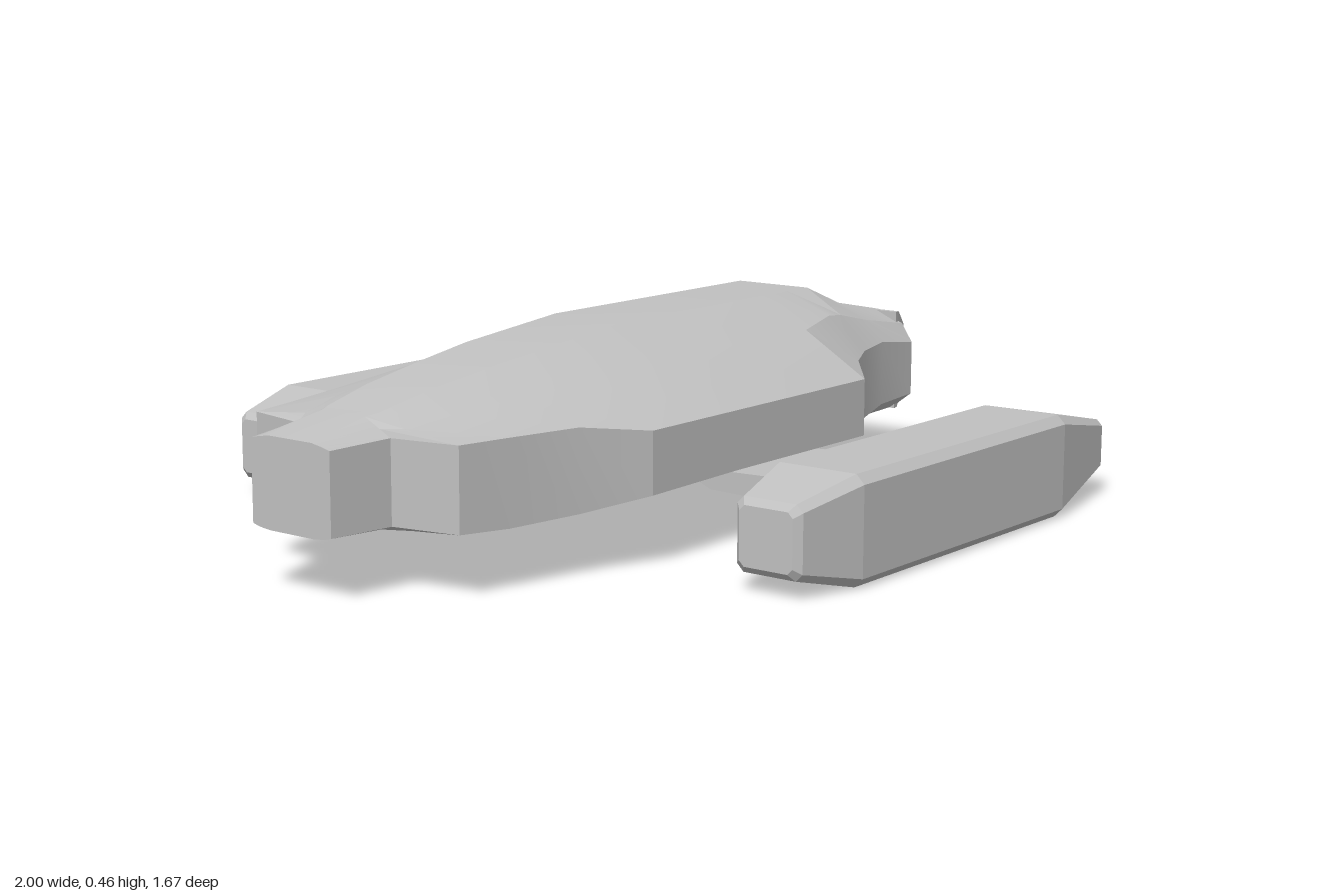
import * as THREE from 'three';
import { toCreasedNormals } from 'three/addons/utils/BufferGeometryUtils.js';

// Skin a list of equal-length rings and close both ends with fans
function loft(rings, crease = 0.25) {
  const n = rings[0].length, index = [];
  for (let r = 0; r < rings.length - 1; r++) {
    for (let i = 0; i < n; i++) {
      const j = (i + 1) % n, a = r * n, b = a + n;
      index.push(a + i, a + j, b + j, a + i, b + j, b + i);
    }
  }
  const last = (rings.length - 1) * n;
  for (let i = 1; i < n - 1; i++) {
    index.push(0, i + 1, i, last, last + i, last + i + 1);
  }
  const geo = new THREE.BufferGeometry();
  geo.setAttribute('position', new THREE.Float32BufferAttribute(rings.flat(2), 3));
  geo.setIndex(index);
  return toCreasedNormals(geo, crease);
}

// Ring across x from half-section pairs (z, y) running top to bottom, mirrored in z
function mirrorRing([x, ...v]) {
  const half = [];
  for (let i = 0; i < v.length; i += 2) half.push([x, v[i + 1], v[i]]);
  return [...half, ...half.slice().reverse().map(([a, y, z]) => [a, y, -z])];
}

// Chamfered rectangle section for the pods
function podRing([x, h, y0, y1, c]) {
  return mirrorRing([x, h - c, y1, h, y1 - c, h, y0 + c, h - c, y0]);
}

// Rectangular section across z for the pylons
const slabRing = ([z, x0, x1, y0, y1]) => [[x1, y1, z], [x0, y1, z], [x0, y0, z], [x1, y0, z]];

export function createModel() {
  const model = new THREE.Group();
  model.name = 'spacecraft';
  const hullGrey = new THREE.MeshStandardMaterial({ color: 0xc0c0c0 });
  hullGrey.name = 'hull grey';

  const add = (name, geo, parent = model) => {
    const mesh = new THREE.Mesh(geo, hullGrey);
    mesh.name = name;
    parent.add(mesh);
    return mesh;
  };

  // Hull: x, then top, shoulder, upper side, lower side, belly and keel points;
  // the last two stations fold inward to form the exhaust recess
  const hull = [
    [-1, .06, .325, .09, .32, .11, .315, .11, .14, .09, .135, .06, .132],
    [-.85, .06, .355, .1, .335, .13, .32, .13, .14, .1, .13, .06, .125],
    [-.82, .07, .36, .14, .335, .285, .32, .285, .14, .16, .13, .07, .122],
    [-.7, .08, .385, .17, .35, .31, .32, .31, .135, .17, .125, .08, .1],
    [-.53, .09, .41, .2, .365, .35, .32, .35, .14, .19, .125, .09, .085],
    [-.37, .1, .43, .23, .375, .415, .297, .415, .16, .2, .125, .1, .078],
    [-.07, .1, .458, .25, .395, .415, .297, .415, .165, .2, .125, .1, .076],
    [.42, .1, .458, .25, .395, .415, .297, .415, .165, .2, .125, .1, .076],
  ];
  const stern = [
    [.56, .1, .458, .22, .41, .305, .31, .305, .16, .19, .125, .1, .085],
    [.64, .1, .458, .2, .4, .27, .32, .27, .155, .18, .125, .1, .1],
    [.78, .1, .405, .18, .37, .23, .32, .23, .165, .17, .127, .1, .124],
    [.93, .12, .375, .19, .345, .22, .3, .22, .17, .17, .132, .1, .13],
    [.93, .1, .338, .18, .336, .195, .32, .195, .18, .18, .164, .1, .162],
    [.85, .1, .338, .18, .336, .195, .32, .195, .18, .18, .164, .1, .162],
  ];
  add('hull', loft([...hull, ...stern].map(mirrorRing)));

  // Lips reaching past the exhaust opening
  add('upperLip', loft([
    [.91, .185, .375, .185, .337],
    [.93, .18, .374, .18, .337],
    [1, .15, .333, .15, .322],
  ].map(mirrorRing)));
  add('lowerLip', loft([
    [.91, .185, .163, .185, .131],
    [.93, .18, .163, .18, .131],
    [1, .15, .178, .15, .168],
  ].map(mirrorRing)));

  // Exhaust grille: two blocks of four by four raised cells
  const grille = new THREE.Group();
  grille.name = 'exhaustGrille';
  model.add(grille);
  const cell = new THREE.BoxGeometry(.02, .028, .032);
  for (const side of [-1, 1]) {
    for (let col = 0; col < 4; col++) {
      for (let row = 0; row < 4; row++) {
        add('grilleCell', cell, grille)
          .position.set(.855, .196 + row * .036, side * (.028 + col * .041));
      }
    }
  }

  // Side pods and the pylons that carry them
  const podGeo = loft([
    [-.4, .065, .055, .182, .012],
    [-.385, .08, .04, .197, .016],
    [-.22, .114, 0, .235, .02],
    [.6, .114, 0, .235, .02],
    [.875, .062, .056, .178, .014],
    [.89, .045, .075, .162, .008],
  ].map(podRing), 0.1);
  const pylon = [
    [.17, .01, .345, .12, .17],
    [.22, .01, .345, .115, .16],
    [.28, .01, .345, .09, .135],
    [.57, .01, .345, .083, .143],
    [.6, -.01, .365, .08, .148],
    [.63, -.04, .395, .078, .152],
  ];
  for (const side of [1, -1]) {
    const label = side > 0 ? 'front' : 'rear';
    add(label + 'Pod', podGeo).position.z = side * .722;
    const stations = pylon.map(([z, ...rest]) => [side * z, ...rest]);
    if (side < 0) stations.reverse();
    add(label + 'Pylon', loft(stations.map(slabRing)));
  }
  return model;
}
